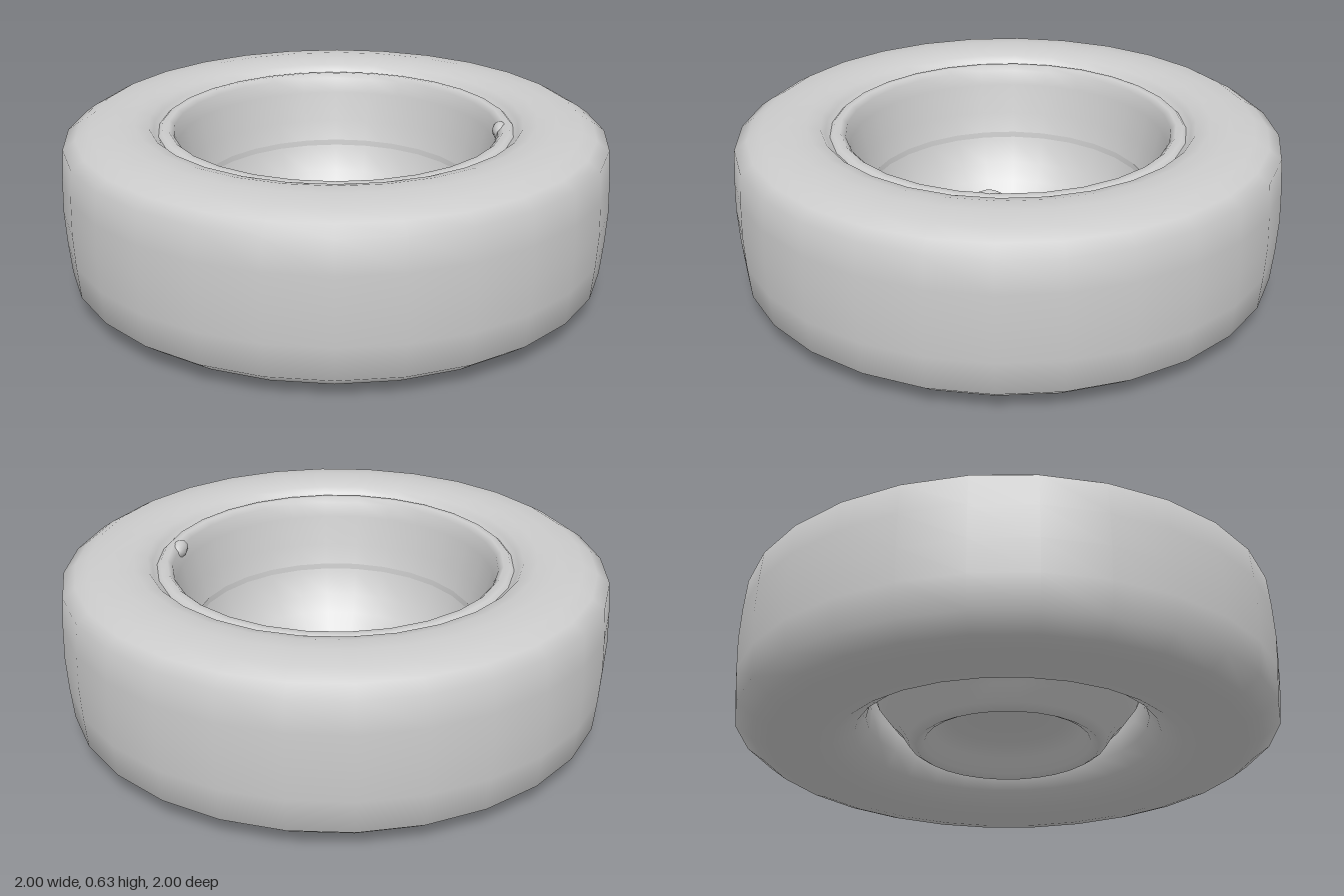
import * as THREE from 'three';

const SEGMENTS = 28;

// Revolve a smooth [radius, height] profile round the wheel axis.
function revolve(name, profile, material) {
  const points = profile.map(([r, y]) => new THREE.Vector2(r, y));
  const mesh = new THREE.Mesh(new THREE.LatheGeometry(points, SEGMENTS), material);
  mesh.name = name;
  return mesh;
}

export function createModel() {
  const group = new THREE.Group();
  group.name = 'wheel';
  const material = new THREE.MeshStandardMaterial({ color: 0xcccccc, side: THREE.DoubleSide });

  // Tyre: underside lip, lower sidewall, tread, upper sidewall, bead groove
  group.add(revolve('tyre', [
    [0.53, 0.34], [0.515, 0.22], [0.52, 0.14], [0.56, 0.08], [0.63, 0.035],
    [0.71, 0.015], [0.8, 0.008], [0.87, 0.022], [0.92, 0.04], [0.985, 0.09],
    [0.995, 0.21], [1.0, 0.33], [0.995, 0.45], [0.985, 0.565],
    [0.94, 0.597], [0.89, 0.625], [0.8, 0.638], [0.73, 0.634], [0.68, 0.62],
    [0.665, 0.6], [0.645, 0.585],
  ], material));

  // Rim: rolled edge, sloping bowl, floor groove and raised centre
  group.add(revolve('rim', [
    [0.65, 0.585], [0.635, 0.6], [0.61, 0.602], [0.592, 0.585], [0.58, 0.53],
    [0.555, 0.42], [0.525, 0.31], [0.485, 0.22], [0.44, 0.16], [0.4, 0.12],
    [0.365, 0.065], [0.335, 0.045], [0.305, 0.06], [0.27, 0.11],
    [0.22, 0.15], [0.12, 0.175], [0, 0.185],
  ], material));

  // Small valve on the inner edge of the rim
  const valve = new THREE.Mesh(new THREE.SphereGeometry(0.04, 10, 8), material);
  valve.name = 'valve';
  valve.scale.set(0.7, 0.8, 1.3);
  valve.position.set(0.59, 0.575, -0.1);
  valve.rotation.y = 0.17;
  group.add(valve);

  return group;
}
